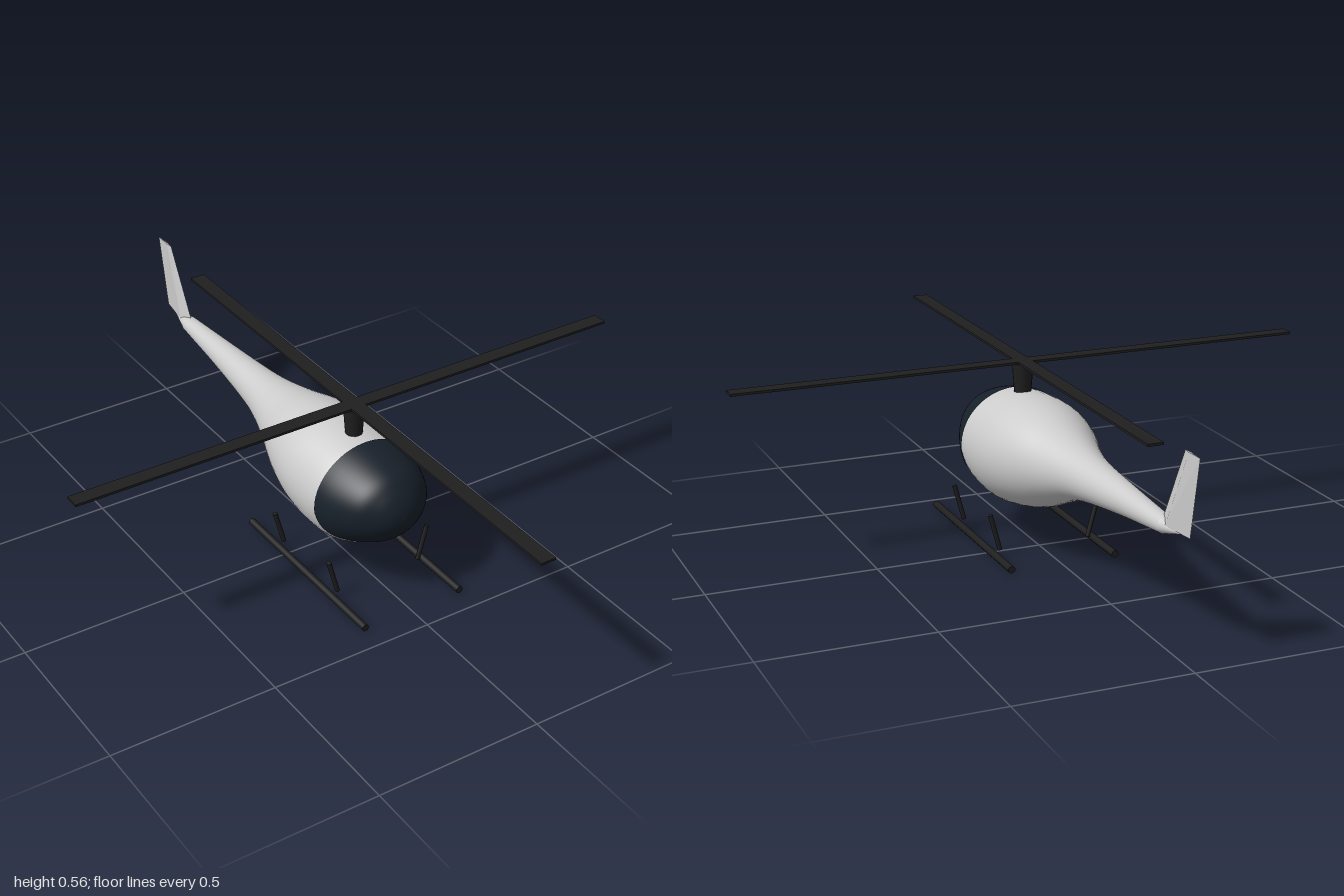
import * as THREE from 'three';
import { mergeVertices } from 'three/addons/utils/BufferGeometryUtils.js';

const grey = new THREE.MeshStandardMaterial({ color: 0xcccccc });
const dark = new THREE.MeshStandardMaterial({ color: 0x1f1f1f });
const glass = new THREE.MeshStandardMaterial({ color: 0x17202a, side: THREE.DoubleSide });

// Fuselage stations from nose to tail: z, top y, bottom y, half width
const stations = [
  [0.378, 0.287, 0.287, 0],
  [0.37, 0.325, 0.252, 0.042],
  [0.345, 0.366, 0.216, 0.083],
  [0.30, 0.402, 0.177, 0.126],
  [0.20, 0.43, 0.121, 0.165],
  [0.10, 0.442, 0.107, 0.172],
  [0.00, 0.444, 0.123, 0.169],
  [-0.10, 0.431, 0.152, 0.146],
  [-0.20, 0.408, 0.194, 0.111],
  [-0.30, 0.39, 0.234, 0.081],
  [-0.40, 0.38, 0.257, 0.062],
  [-0.60, 0.37, 0.286, 0.042],
  [-0.80, 0.36, 0.309, 0.027],
  [-0.83, 0.357, 0.315, 0.023],
  [-0.92, 0.344, 0.343, 0],
];
const heights = new THREE.CatmullRomCurve3(
  stations.map(([z, top, bottom]) => new THREE.Vector3(z, top, bottom)), false, 'catmullrom', 0.5);
const widths = new THREE.CatmullRomCurve3(
  stations.map(([z, , , w]) => new THREE.Vector3(z, w, 0)), false, 'catmullrom', 0.5);

// Point on the fuselage skin; angle 0 is the top, PI the bottom
function skin(t, angle, grow = 0) {
  const { x: z, y: top, z: bottom } = heights.getPoint(t);
  const w = Math.max(widths.getPoint(t).y, 0);
  const k = 1 + grow;
  return [
    w * k * Math.sin(angle),
    (top + bottom) / 2 + ((top - bottom) / 2) * k * Math.cos(angle),
    z + grow * 0.25,
  ];
}

// Surface from a rule point(u, v) with u and v in 0..1
function surface(name, rows, cols, point, material) {
  const pos = [], index = [];
  for (let i = 0; i <= rows; i++) {
    for (let j = 0; j <= cols; j++) pos.push(...point(i / rows, j / cols));
  }
  for (let i = 0; i < rows; i++) {
    for (let j = 0; j < cols; j++) {
      const a = i * (cols + 1) + j, b = a + cols + 1;
      index.push(a, a + 1, b, a + 1, b + 1, b);
    }
  }
  let geo = new THREE.BufferGeometry();
  geo.setAttribute('position', new THREE.Float32BufferAttribute(pos, 3));
  geo.setIndex(index);
  geo = mergeVertices(geo, 1e-5);
  geo.computeVertexNormals();
  const mesh = new THREE.Mesh(geo, material);
  mesh.name = name;
  return mesh;
}

// Curve parameter at which the fuselage reaches a given z
function paramAt(z) {
  let lo = 0, hi = 1;
  for (let i = 0; i < 30; i++) {
    const mid = (lo + hi) / 2;
    if (heights.getPoint(mid).x > z) lo = mid; else hi = mid;
  }
  return lo;
}

// Rear edge of the canopy: angle from the top in degrees, z
const canopyEdge = [[0, 0.178], [95, 0.178], [110, 0.19], [122, 0.208], [132, 0.24], [141, 0.275], [155, 0.305], [181, 0.322]];
function canopyBack(angle) {
  const d = Math.abs(THREE.MathUtils.radToDeg(angle));
  const i = canopyEdge.findIndex(([a]) => a > d);
  const [a0, z0] = canopyEdge[i - 1], [a1, z1] = canopyEdge[i];
  return THREE.MathUtils.mapLinear(d, a0, a1, z0, z1);
}

// Straight rod between two points
function rod(name, from, to, radius) {
  const a = new THREE.Vector3(...from), b = new THREE.Vector3(...to);
  const mesh = new THREE.Mesh(new THREE.CylinderGeometry(radius, radius, a.distanceTo(b), 10), dark);
  mesh.position.copy(a).lerp(b, 0.5);
  mesh.quaternion.setFromUnitVectors(new THREE.Vector3(0, 1, 0), b.clone().sub(a).normalize());
  mesh.name = name;
  return mesh;
}

// Swept tail fin: wedge sections, thick near the leading edge, tapering upward
function tailFin() {
  const section = (y, front, back, half) => {
    const thick = THREE.MathUtils.lerp(front, back, 0.3);
    return [[0, y, front], [half, y, thick], [0, y, back], [-half, y, thick]];
  };
  const base = section(0.343, -0.80, -0.955, 0.016);
  const tip = section(0.565, -0.918, -0.998, 0.003);
  const pos = [];
  for (let i = 0; i < 4; i++) {
    const j = (i + 1) % 4;
    pos.push(...base[i], ...base[j], ...tip[j], ...base[i], ...tip[j], ...tip[i]);
  }
  pos.push(...tip[0], ...tip[1], ...tip[2], ...tip[0], ...tip[2], ...tip[3]);
  pos.push(...base[0], ...base[2], ...base[1], ...base[0], ...base[3], ...base[2]);
  const geo = new THREE.BufferGeometry();
  geo.setAttribute('position', new THREE.Float32BufferAttribute(pos, 3));
  geo.computeVertexNormals();
  const mesh = new THREE.Mesh(geo, grey);
  mesh.name = 'tailFin';
  return mesh;
}

export function createModel() {
  const model = new THREE.Group();
  model.name = 'helicopter';

  // Body, glazed nose and fin
  model.add(surface('fuselage', 84, 48, (u, v) => skin(u, (v * 2 - 1) * Math.PI), grey));
  model.add(surface('canopy', 24, 72, (u, v) => {
    const angle = (v * 2 - 1) * Math.PI;
    return skin(u * paramAt(canopyBack(angle)), angle, 0.012);
  }, glass));
  model.add(tailFin());

  // Mast and two crossed full-length blades
  const rotor = new THREE.Group();
  rotor.name = 'mainRotor';
  rotor.position.set(0, 0.53, 0.122);
  const mast = new THREE.Mesh(new THREE.CylinderGeometry(0.032, 0.024, 0.11, 16), dark);
  mast.name = 'rotorMast';
  mast.position.y = -0.053;
  rotor.add(mast);
  for (const turn of [0, Math.PI / 2]) {
    const blade = new THREE.Mesh(new THREE.BoxGeometry(1.755, 0.007, 0.046), dark);
    blade.name = 'rotorBlade';
    blade.rotation.y = turn;
    rotor.add(blade);
  }
  model.add(rotor);

  // Landing skids with two struts on each side
  for (const side of [1, -1]) {
    const gear = new THREE.Group();
    gear.name = side > 0 ? 'leftSkid' : 'rightSkid';
    gear.add(rod('skidTube', [side * 0.161, 0.011, 0.43], [side * 0.161, 0.011, -0.182], 0.011));
    for (const z of [0.252, -0.037]) {
      gear.add(rod('skidStrut', [side * 0.139, 0.02, z], [side * 0.168, 0.128, z], 0.007));
    }
    model.add(gear);
  }
  return model;
}
